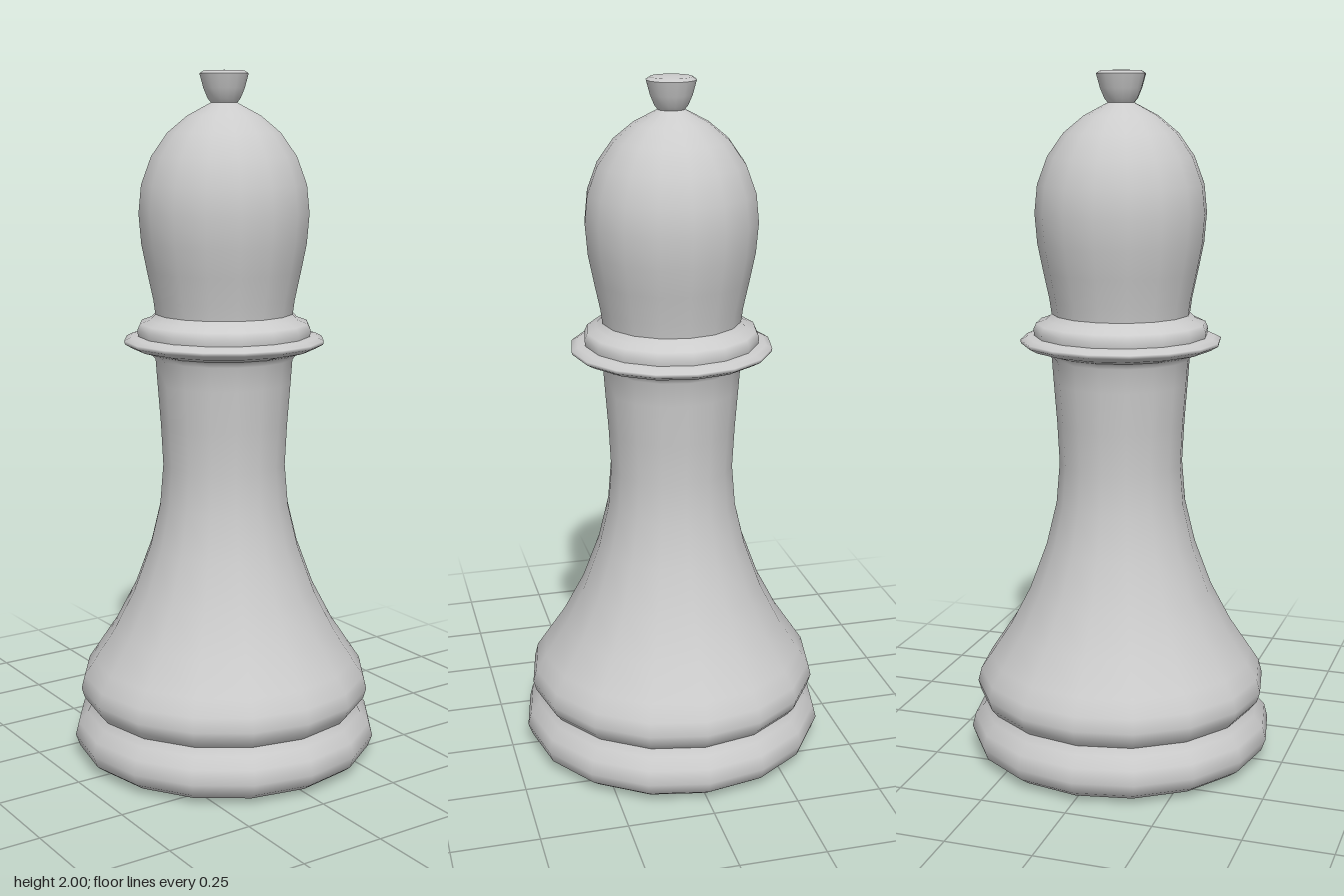
import * as THREE from 'three';

const SIDES = 16;
const material = new THREE.MeshStandardMaterial({ color: 0xcccccc });

// Turned part from [radius, height] pairs, listed bottom to top
function turned(name, profile) {
  const points = profile.map(([r, y]) => new THREE.Vector2(r, y));
  const mesh = new THREE.Mesh(new THREE.LatheGeometry(points, SIDES), material);
  mesh.name = name;
  return mesh;
}

export function createModel() {
  const piece = new THREE.Group();
  piece.name = 'chessBishop';

  piece.add(
    // Flat underside and rounded foot ring
    turned('underside', [[0, 0], [0.28, 0], [0.41, 0.01]]),
    turned('footRing', [
      [0.41, 0.01], [0.437, 0.03], [0.45, 0.065], [0.44, 0.105], [0.413, 0.135], [0.402, 0.157],
    ]),
    // Bulging base sweeping up into the slim stem
    turned('stem', [
      [0.402, 0.157], [0.421, 0.18], [0.43, 0.21], [0.42, 0.25], [0.39, 0.295], [0.33, 0.385],
      [0.27, 0.5], [0.22, 0.635], [0.19, 0.76], [0.18, 0.88], [0.186, 1.0], [0.195, 1.12],
      [0.2, 1.19], [0.215, 1.208],
    ]),
    // Flared collar with a smaller step on top
    turned('collarFlange', [
      [0.215, 1.208], [0.265, 1.222], [0.288, 1.235], [0.29, 1.245], [0.272, 1.254], [0.25, 1.257],
    ]),
    turned('collarStep', [
      [0.25, 1.257], [0.252, 1.275], [0.244, 1.293], [0.215, 1.303], [0.199, 1.32],
    ]),
    // Domed head
    turned('head', [
      [0.197, 1.3], [0.205, 1.36], [0.222, 1.44], [0.238, 1.52], [0.245, 1.605], [0.237, 1.685],
      [0.208, 1.763], [0.162, 1.828], [0.105, 1.875], [0.035, 1.912],
    ]),
    // Finial knob with a flat top
    turned('finial', [[0.033, 1.905], [0.047, 1.922], [0.059, 1.95], [0.07, 1.99]]),
    turned('finialTop', [[0.07, 1.99], [0.058, 1.998], [0, 2]]),
  );
  return piece;
}
